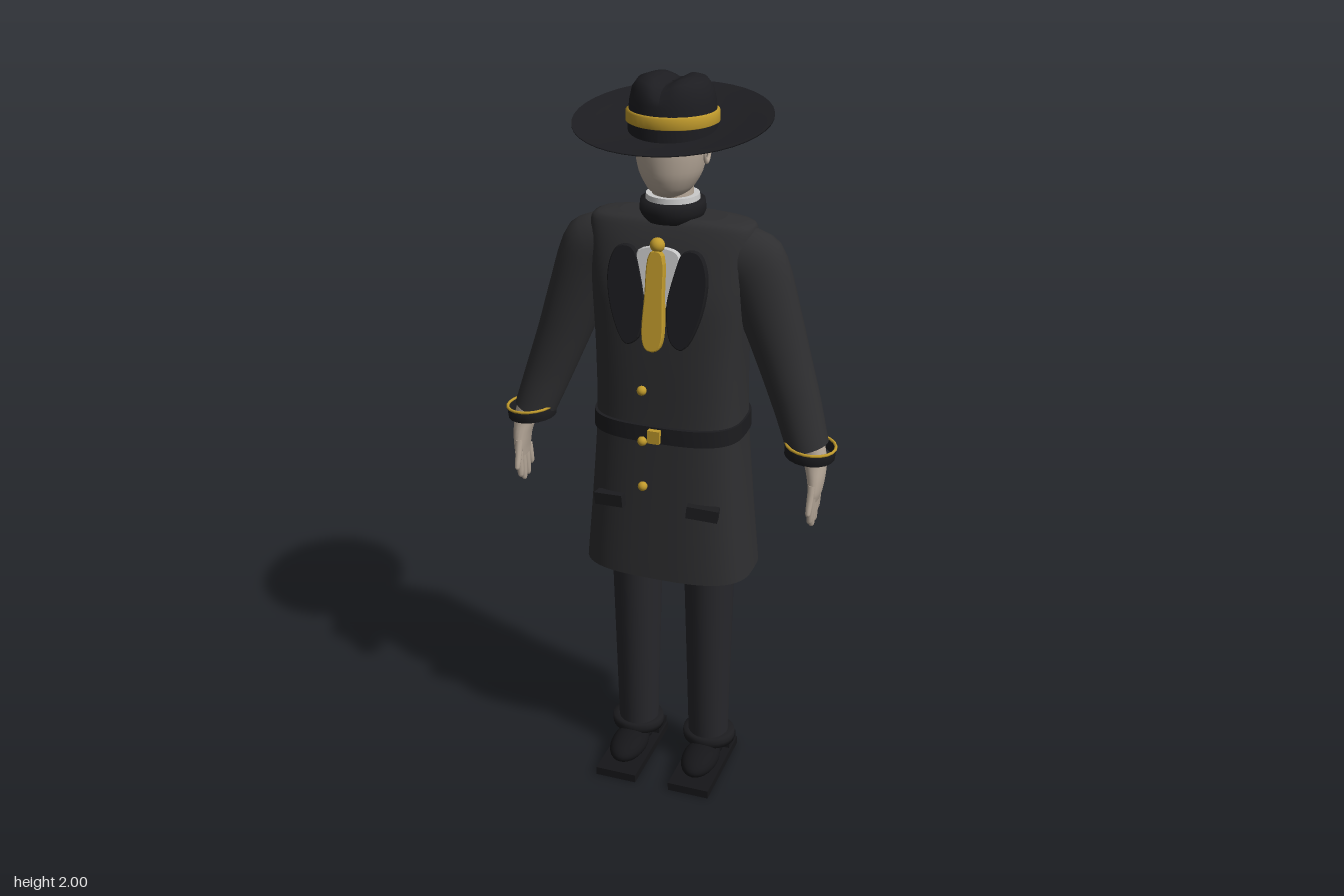
import * as THREE from 'three';

const mat = (color, side = THREE.FrontSide) => new THREE.MeshStandardMaterial({ color, side });
const MAT = {
  coat: mat(0x2e2e30, THREE.DoubleSide), trim: mat(0x1c1c1f, THREE.DoubleSide),
  hat: mat(0x1d1d21, THREE.DoubleSide), trousers: mat(0x27272b), shoe: mat(0x161619),
  skin: mat(0xb5a798), gold: mat(0xc09a2c, THREE.DoubleSide), shirt: mat(0xcccccc), hair: mat(0x121214),
};

function part(name, geometry, material, x = 0, y = 0, z = 0) {
  const m = new THREE.Mesh(geometry, material);
  m.name = name;
  m.position.set(x, y, z);
  return m;
}

// Smooth loft through sections [x, y, z, rx, rz, tilt], listed from bottom to top
function loft(sections, { power = 2, sides = 28, steps = 4, bottom = true, top = true } = {}) {
  const centres = new THREE.CatmullRomCurve3(sections.map(s => new THREE.Vector3(s[0], s[1], s[2])), false, 'catmullrom', 0.4);
  const sizes = new THREE.CatmullRomCurve3(sections.map(s => new THREE.Vector3(s[3], s[4], s[5] || 0)), false, 'catmullrom', 0.4);
  const pos = [], idx = [], rows = (sections.length - 1) * steps;
  const round = v => Math.sign(v) * Math.abs(v) ** (2 / power);
  const ring = t => {
    const c = centres.getPoint(t), s = sizes.getPoint(t);
    for (let j = 0; j < sides; j++) {
      const a = j / sides * Math.PI * 2, u = s.x * round(Math.cos(a));
      pos.push(c.x + u * Math.cos(s.z), c.y + u * Math.sin(s.z), c.z + s.y * round(Math.sin(a)));
    }
    return c;
  };
  for (let i = 0; i <= rows; i++) ring(i / rows);
  for (let i = 0; i < rows; i++) for (let j = 0; j < sides; j++) {
    const k = (j + 1) % sides, a = i * sides + j, b = i * sides + k;
    idx.push(a, a + sides, b + sides, a, b + sides, b);
  }
  const cap = (t, up) => {
    const start = pos.length / 3, c = ring(t), mid = pos.length / 3;
    pos.push(c.x, c.y, c.z);
    for (let j = 0; j < sides; j++) {
      const a = start + j, b = start + (j + 1) % sides;
      up ? idx.push(mid, b, a) : idx.push(mid, a, b);
    }
  };
  if (bottom) cap(0, false);
  if (top) cap(1, true);
  const g = new THREE.BufferGeometry();
  g.setAttribute('position', new THREE.Float32BufferAttribute(pos, 3));
  g.setIndex(idx);
  g.computeVertexNormals();
  return g;
}

const lathe = (pts, n = 40) => new THREE.LatheGeometry(pts.map(p => new THREE.Vector2(p[0], p[1])), n);

// Moves every vertex by a rule
function bend(g, rule) {
  const p = g.attributes.position, v = new THREE.Vector3();
  for (let i = 0; i < p.count; i++) {
    rule(v.fromBufferAttribute(p, i));
    p.setXYZ(i, v.x, v.y, v.z);
  }
  g.computeVertexNormals();
  return g;
}

// Flat panel with a rounded outline
function panel(points, depth) {
  const shape = new THREE.Shape().setFromPoints(new THREE.CatmullRomCurve3(
    points.map(p => new THREE.Vector3(p[0], p[1], 0)), true).getPoints(36));
  return new THREE.ExtrudeGeometry(shape, { depth, bevelEnabled: true, bevelSize: 0.003, bevelThickness: 0.003, bevelSegments: 1 });
}

function createHat() {
  const g = new THREE.Group();
  g.name = 'hat';
  const brim = lathe([[0.09, -0.012], [0.15, -0.011], [0.2, -0.008], [0.25, -0.002], [0.25, 0.001], [0.2, 0.001], [0.15, 0], [0.09, 0]]);
  bend(brim, v => { v.y += 1.865 - 0.14 * v.z + 0.03 * (v.x * v.x + v.z * v.z) / 0.0625; });
  const crown = lathe([[0.112, 1.85], [0.111, 1.9], [0.107, 1.94], [0.1, 1.97], [0.085, 1.99], [0.06, 1.999], [0.04, 2], [0.02, 2], [0.001, 2]], 48);
  bend(crown, v => { if (v.y > 1.96) v.y -= 0.018 * Math.exp(-((v.x / 0.025) ** 2)); });
  const band = lathe([[0.111, 1.886], [0.117, 1.889], [0.116, 1.914], [0.109, 1.918]]);
  g.add(part('brim', brim, MAT.hat), part('crown', crown, MAT.hat), part('hatBand', band, MAT.gold));
  return g;
}

function createHead() {
  const g = new THREE.Group();
  g.name = 'head';
  g.add(part('face', loft([[0, 1.705, 0.02, 0.03, 0.035], [0, 1.725, 0.018, 0.056, 0.066], [0, 1.765, 0.014, 0.079, 0.086],
    [0, 1.82, 0.012, 0.09, 0.092], [0, 1.89, 0.01, 0.088, 0.09]]), MAT.skin));
  g.add(part('neck', new THREE.CylinderGeometry(0.052, 0.056, 0.1, 28), MAT.skin, 0, 1.69, 0));
  const hair = part('hair', new THREE.CylinderGeometry(0.098, 0.092, 0.1, 24, 1, false, Math.PI - 1.15, 2.3), MAT.hair, 0, 1.82, -0.003);
  hair.scale.z = 1.04;
  g.add(hair);
  for (const s of [1, -1]) {
    const ear = part('ear', new THREE.TorusGeometry(0.02, 0.005, 8, 20), MAT.skin, s * 0.089, 1.82, 0);
    ear.rotation.y = Math.PI / 2;
    ear.scale.y = 1.45;
    g.add(ear);
  }
  return g;
}

function createCoat() {
  const g = new THREE.Group();
  g.name = 'coat';
  g.add(part('coatBody', loft([[0, 0.665, -0.002, 0.235, 0.148], [0, 0.88, -0.002, 0.216, 0.139], [0, 1.1, -0.002, 0.2, 0.131],
    [0, 1.3, 0.002, 0.2, 0.125], [0, 1.46, 0.003, 0.208, 0.118], [0, 1.58, -0.005, 0.218, 0.096],
    [0, 1.638, -0.008, 0.212, 0.075], [0, 1.653, -0.005, 0.14, 0.055]], { power: 3, sides: 48, bottom: false }), MAT.coat));
  g.add(part('belt', loft([[0, 1.07, -0.002, 0.206, 0.143], [0, 1.115, -0.002, 0.205, 0.142]], { power: 3, sides: 48, steps: 1 }), MAT.trim));
  g.add(part('buckle', new THREE.BoxGeometry(0.032, 0.036, 0.02), MAT.gold, 0, 1.092, 0.145));
  g.add(part('backPanel', new THREE.BoxGeometry(0.2, 0.38, 0.05), MAT.coat, 0, 1.29, -0.114));
  for (const y of [1.215, 1.072, 0.94])
    g.add(part('button', new THREE.SphereGeometry(0.013, 16, 10), MAT.gold, -0.035, y, 0.142));
  g.add(part('standCollar', lathe([[0.05, 1.64], [0.075, 1.64], [0.085, 1.665], [0.082, 1.69], [0.058, 1.692]]), MAT.trim));
  g.add(part('shirtCollar', new THREE.CylinderGeometry(0.068, 0.07, 0.022, 32), MAT.shirt, 0, 1.694, 0));

  // Shirt front, tie and lapels lie on the sloping chest
  const chest = new THREE.Group();
  chest.name = 'chestFront';
  chest.position.set(0, 1.47, 0.115);
  chest.rotation.x = -0.15;
  chest.add(part('shirtFront', panel([[-0.05, 0.11], [0.05, 0.11], [0.04, 0.03], [0, -0.06], [-0.04, 0.03]], 0.012), MAT.shirt));
  chest.add(part('tie', panel([[-0.012, 0.11], [0.012, 0.11], [0.022, 0], [0.024, -0.11], [0.012, -0.135], [-0.012, -0.135], [-0.024, -0.11], [-0.022, 0]], 0.016), MAT.gold, 0, 0, 0.014));
  chest.add(part('tieKnot', new THREE.SphereGeometry(0.019, 20, 12), MAT.gold, 0, 0.13, 0.02));
  for (const s of [1, -1]) {
    const pts = [[0.07, 0.115], [0.105, 0.115], [0.128, 0.06], [0.115, -0.05], [0.075, -0.128], [0.048, -0.115], [0.032, -0.03], [0.045, 0.05]];
    chest.add(part('lapel', panel(pts.map(p => [s * p[0], p[1]]), 0.014), MAT.trim));
    const pocket = part('pocketFlap', new THREE.BoxGeometry(0.085, 0.034, 0.03), MAT.trim, s * 0.13, 0.885, 0.133);
    pocket.rotation.set(0, s * 0.15, s * -0.1);
    g.add(pocket);
  }
  g.add(chest);
  return g;
}

function createArm() {
  const g = new THREE.Group();
  g.name = 'arm';
  g.add(part('sleeve', loft([[0.383, 1.08, 0.04, 0.056, 0.056, 0.3], [0.348, 1.18, 0.022, 0.063, 0.06, 0.35], [0.308, 1.29, 0.01, 0.07, 0.064, 0.38],
    [0.265, 1.41, 0.003, 0.08, 0.067, 0.45], [0.215, 1.53, -0.003, 0.095, 0.07, 0.8], [0.14, 1.565, -0.007, 0.08, 0.068, 1.3]]), MAT.coat));
  // Loose open cuff with a gold edge
  const cuff = new THREE.Group();
  cuff.name = 'cuff';
  cuff.position.set(0.392, 1.073, 0.046);
  cuff.rotation.set(0.02, 0, -0.08);
  cuff.add(part('cuffBand', lathe([[0.06, -0.016], [0.066, -0.017], [0.067, 0.012], [0.061, 0.012], [0.06, -0.016]], 20), MAT.trim));
  const edge = part('cuffEdge', new THREE.TorusGeometry(0.065, 0.004, 8, 20), MAT.gold, 0, 0.014, 0);
  edge.rotation.x = Math.PI / 2;
  cuff.add(edge);
  g.add(cuff);

  const hand = new THREE.Group();
  hand.name = 'hand';
  hand.add(part('palm', loft([[0.413, 0.945, 0.066, 0.012, 0.037], [0.415, 0.97, 0.066, 0.017, 0.041], [0.414, 1.01, 0.062, 0.024, 0.036],
    [0.408, 1.05, 0.055, 0.031, 0.03], [0.396, 1.1, 0.046, 0.032, 0.032]], { sides: 18 }), MAT.skin));
  // Each finger runs from a knuckle to a tip, thumb last
  const fingers = [[0.034, 0.026, 0.895], [0.055, 0.05, 0.872], [0.076, 0.075, 0.868], [0.096, 0.097, 0.885], [0.092, 0.116, 0.915]];
  fingers.forEach(([z0, z1, tip], i) => {
    const thumb = i === 4, y = thumb ? 0.995 : 0.96;
    const f = thumb ? 0.9 : 1;
    hand.add(part(thumb ? 'thumb' : 'finger', loft([[0.41, tip, z1, 0.004, 0.004], [0.41, tip + 0.008, z1, 0.008 * f, 0.009 * f],
      [0.411, (tip + y) / 2, (z0 + z1) / 2, 0.01 * f, 0.011 * f], [0.413, y, z0, 0.011, 0.012]], { sides: 10, steps: 2 }), MAT.skin));
  });
  g.add(hand);
  return g;
}

function createLeg() {
  const g = new THREE.Group();
  g.name = 'leg';
  g.add(part('trouserLeg', loft([[0.108, 0.07, -0.005, 0.057, 0.058], [0.107, 0.35, -0.004, 0.063, 0.067],
    [0.106, 0.67, -0.003, 0.07, 0.078], [0.105, 0.9, 0, 0.074, 0.085]]), MAT.trousers));
  const hem = part('trouserCuff', lathe([[0.05, -0.015], [0.066, -0.015], [0.068, 0], [0.066, 0.015], [0.05, 0.016]], 28), MAT.trim, 0.11, 0.09, -0.005);
  hem.scale.x = 1.13;
  g.add(hem);
  g.add(part('sole', new THREE.BoxGeometry(0.12, 0.024, 0.28), MAT.shoe, 0.11, 0.012, 0.046));
  g.add(part('heel', new THREE.BoxGeometry(0.11, 0.046, 0.065), MAT.shoe, 0.11, 0.023, -0.062));
  const toe = part('shoe', new THREE.SphereGeometry(1, 28, 18), MAT.shoe, 0.11, 0.05, 0.07);
  toe.scale.set(0.052, 0.037, 0.09);
  const ankle = part('shoeBack', new THREE.SphereGeometry(1, 24, 16), MAT.shoe, 0.11, 0.06, 0.005);
  ankle.scale.set(0.048, 0.045, 0.066);
  g.add(toe, ankle);
  return g;
}

export function createModel() {
  const model = new THREE.Group();
  model.name = 'figure';
  model.add(createHat(), createHead(), createCoat());
  for (const [make, name] of [[createArm, 'Arm'], [createLeg, 'Leg']]) {
    const left = make(), right = make();
    left.name = 'left' + name;
    right.name = 'right' + name;
    right.scale.x = -1;
    model.add(left, right);
  }
  return model;
}
